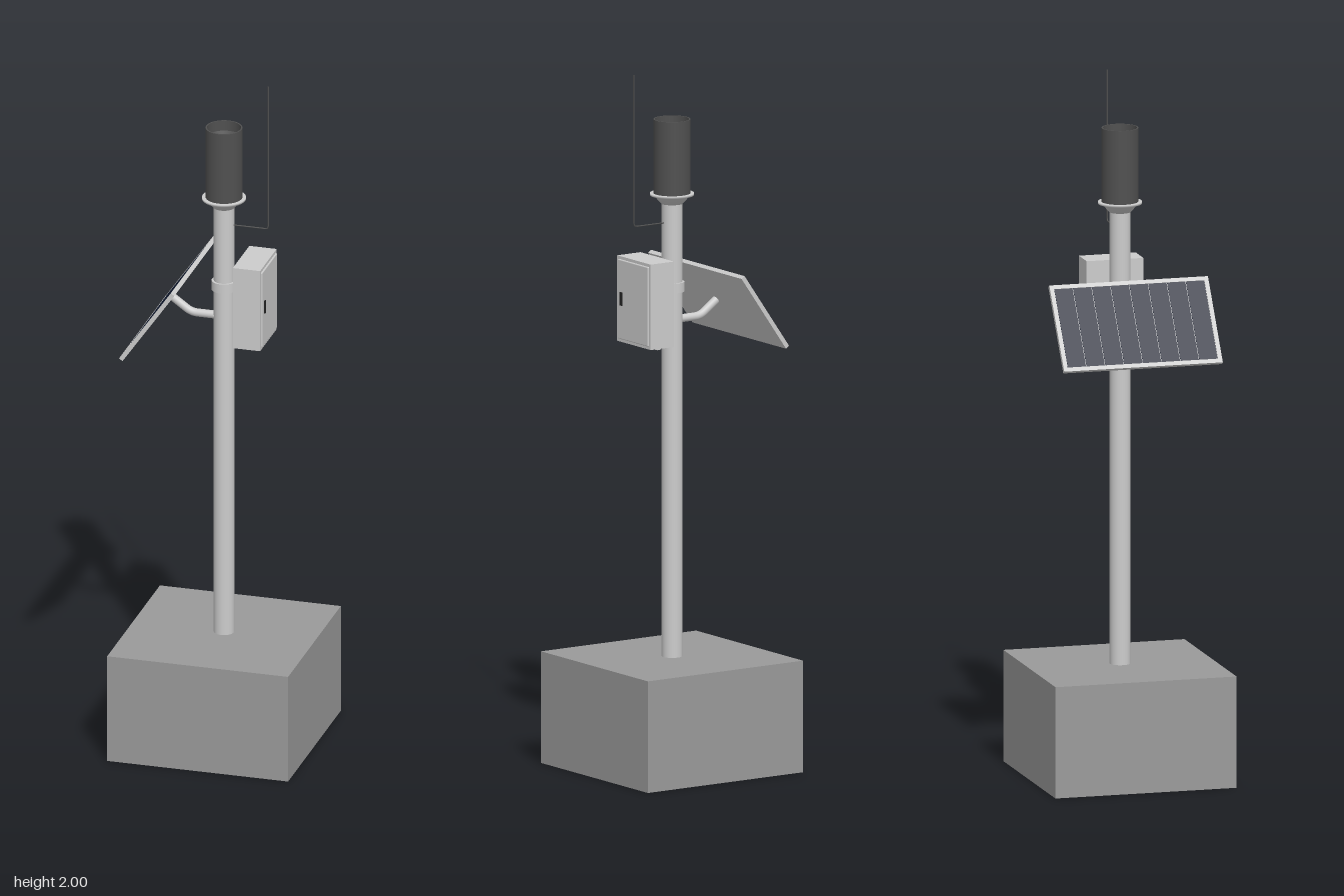
import * as THREE from 'three';
import { RoundedBoxGeometry } from 'three/addons/geometries/RoundedBoxGeometry.js';

const mat = (color, side = THREE.FrontSide) => new THREE.MeshStandardMaterial({ color, side });
const grey = mat(0xcccccc);
const concrete = mat(0x9a9a9a);
const dark = mat(0x505050, THREE.DoubleSide);
const black = mat(0x222222);
const navy = mat(0x111c33);

function add(parent, name, geometry, material, x = 0, y = 0, z = 0) {
  const mesh = new THREE.Mesh(geometry, material);
  mesh.name = name;
  mesh.position.set(x, y, z);
  parent.add(mesh);
  return mesh;
}
const box = (w, h, d) => new THREE.BoxGeometry(w, h, d);
const cyl = (rTop, rBottom, h, n = 32) => new THREE.CylinderGeometry(rTop, rBottom, h, n);

// Straight runs joined by rounded bends
function bentPath(points, bend) {
  const path = new THREE.CurvePath();
  const p = points.map(([x, y]) => new THREE.Vector3(x, y, 0));
  let from = p[0];
  for (let i = 1; i < p.length - 1; i++) {
    const a = p[i].clone().add(p[i - 1].clone().sub(p[i]).setLength(bend));
    const b = p[i].clone().add(p[i + 1].clone().sub(p[i]).setLength(bend));
    path.add(new THREE.LineCurve3(from, a));
    path.add(new THREE.QuadraticBezierCurve3(a, p[i], b));
    from = b;
  }
  path.add(new THREE.LineCurve3(from, p[p.length - 1]));
  return path;
}

function createGauge() {
  const g = new THREE.Group();
  g.name = 'rainGauge';
  // Mounting collar flaring out from the pole
  const collar = [[0, 1.618], [0.031, 1.618], [0.05, 1.64], [0.062, 1.642], [0.062, 1.648], [0, 1.648]];
  add(g, 'collar', new THREE.LatheGeometry(collar.map(p => new THREE.Vector2(...p)), 40), mat(0xcccccc, THREE.DoubleSide));
  // Open cylinder with an inner funnel, each run shaded on its own
  add(g, 'gaugeBody', new THREE.CylinderGeometry(0.052, 0.052, 0.212, 40, 1, true), dark, 0, 1.754);
  add(g, 'gaugeInnerWall', new THREE.CylinderGeometry(0.048, 0.048, 0.03, 40, 1, true), dark, 0, 1.845);
  const rim = add(g, 'gaugeRim', new THREE.RingGeometry(0.048, 0.052, 40), dark, 0, 1.86);
  rim.rotation.x = -Math.PI / 2;
  add(g, 'funnel', new THREE.CylinderGeometry(0.048, 0.003, 0.03, 40, 1, true), dark, 0, 1.815);
  return g;
}

function createPanel() {
  const g = new THREE.Group();
  g.name = 'solarPanel';
  const L = 0.265, W = 0.464, T = 0.0125, border = 0.012;
  // Local x runs up the slope, local y is the sunny side
  add(g, 'panelBack', box(L, T - 0.003, W), grey, 0, -0.0015);
  for (const s of [-1, 1]) {
    add(g, 'frameLongRail', box(border, T, W), grey, s * (L - border) / 2);
    add(g, 'frameEndRail', box(L - 2 * border, T, border), grey, 0, 0, s * (W - border) / 2);
  }
  // Eight cells with pale gaps between them
  const pitch = (W - 2 * border) / 8;
  for (let i = 0; i < 8; i++) {
    add(g, 'solarCell', box(L - 2 * border, 0.002, pitch - 0.002), navy, 0, T / 2 - 0.002, (i - 3.5) * pitch);
  }
  g.position.set(-0.159, 1.325, 0);
  g.rotation.z = THREE.MathUtils.degToRad(55);
  return g;
}

function createCabinet() {
  const g = new THREE.Group();
  g.name = 'controlCabinet';
  add(g, 'cabinetBody', box(0.08, 0.245, 0.166), grey, 0.09, 1.3475);
  add(g, 'cabinetDoor', new RoundedBoxGeometry(0.012, 0.228, 0.15, 2, 0.003), grey, 0.1285, 1.3475);
  add(g, 'doorHandle', box(0.004, 0.038, 0.009), black, 0.1355, 1.35, 0.055);
  // Cable glands along the underside
  for (let i = 0; i < 5; i++) {
    add(g, 'cableGland', cyl(0.008, 0.008, 0.008, 12), grey, 0.09, 1.222, (i - 2) * 0.03);
  }
  return g;
}

export function createModel() {
  const model = new THREE.Group();
  model.name = 'weatherStation';

  add(model, 'base', box(0.53, 0.32, 0.53), concrete, 0, 0.16);
  add(model, 'pole', cyl(0.029, 0.029, 1.32), grey, 0, 0.98);

  model.add(createGauge(), createPanel(), createCabinet());

  // Clamp band behind the cabinet
  add(model, 'clampBand', cyl(0.035, 0.035, 0.028), grey, 0, 1.38);

  // Cranked arm carrying the panel
  const arm = bentPath([[-0.02, 1.285], [-0.095, 1.285], [-0.155, 1.328]], 0.018);
  add(model, 'panelArm', new THREE.TubeGeometry(arm, 32, 0.0115, 16), grey);

  // Thin whip antenna on a side arm
  const whip = bentPath([[0.02, 1.565], [0.13, 1.565], [0.13, 2.0]], 0.008);
  add(model, 'antenna', new THREE.TubeGeometry(whip, 60, 0.002, 8), dark);

  return model;
}
